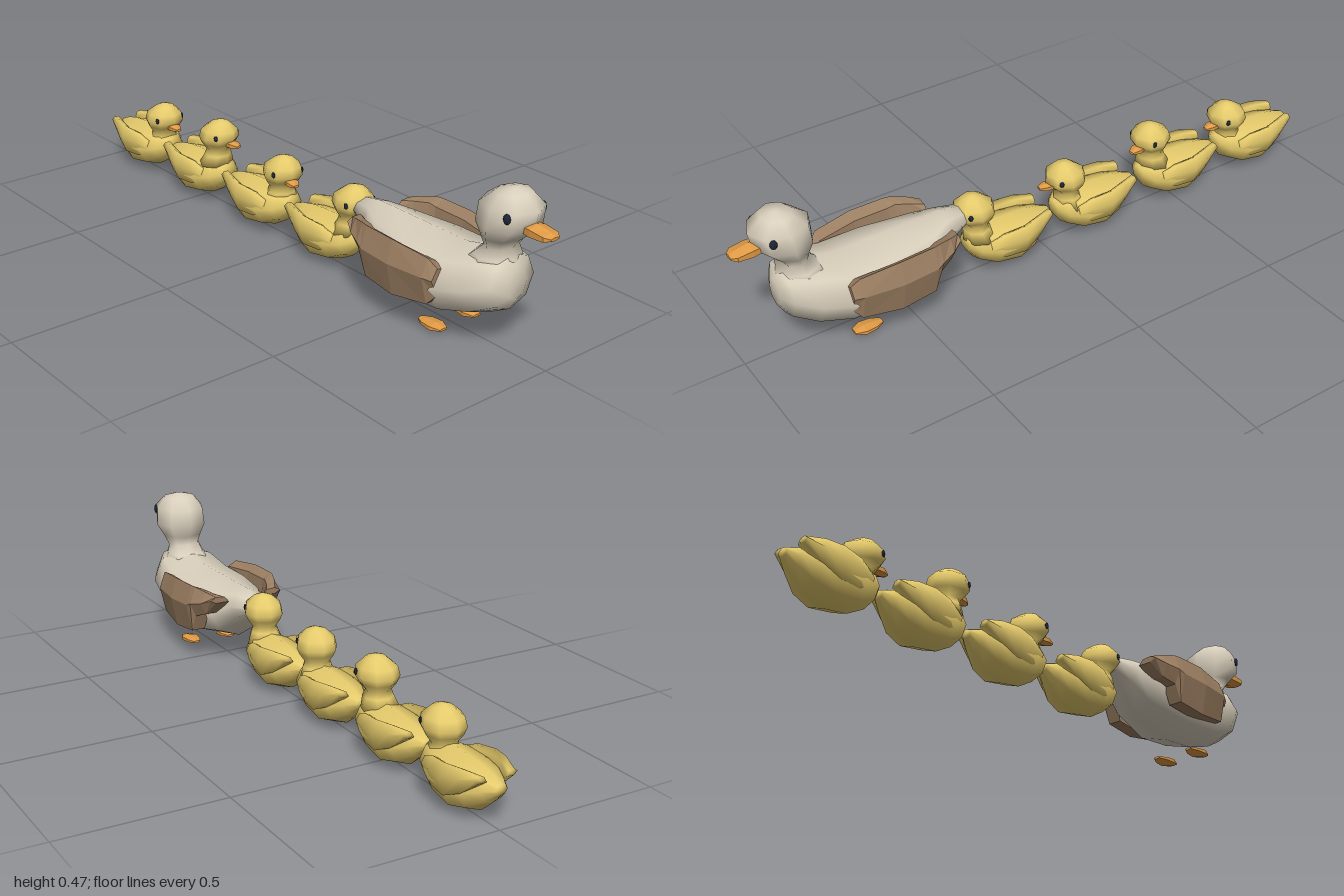
import * as THREE from 'three';

const CREAM = 0xd9cfbc, BROWN = 0x9c7f62, YELLOW = 0xe6cb6c, ORANGE = 0xdf9a45, NAVY = 0x1e2638;

function mat(color, flat = false) {
  return new THREE.MeshStandardMaterial({ color, flatShading: flat, roughness: 0.9 });
}

function add(parent, name, geometry, material) {
  const mesh = new THREE.Mesh(geometry, material);
  mesh.name = name;
  parent.add(mesh);
  return mesh;
}

// Skin over closed rings of points, with both ends capped and faces turned outward
function loft(rings) {
  const n = rings[0].length, pts = rings.flat(), index = [];
  const centre = (ring) => [0, 1, 2].map((k) => ring.reduce((s, p) => s + p[k], 0) / n);
  for (let r = 0; r < rings.length - 1; r++) {
    for (let i = 0; i < n; i++) {
      const a = r * n + i, b = r * n + (i + 1) % n;
      index.push(a, b, a + n, b, b + n, a + n);
    }
  }
  const first = pts.push(centre(rings[0])) - 1;
  const last = pts.push(centre(rings[rings.length - 1])) - 1;
  const top = (rings.length - 1) * n;
  for (let i = 0; i < n; i++) {
    const j = (i + 1) % n;
    index.push(first, j, i, last, top + i, top + j);
  }
  const v = pts.map((p) => new THREE.Vector3(...p));
  const c = v.reduce((s, p) => s.add(p), new THREE.Vector3()).divideScalar(v.length);
  let volume = 0;
  for (let i = 0; i < index.length; i += 3) {
    const [p, q, s] = [0, 1, 2].map((k) => v[index[i + k]].clone().sub(c));
    volume += p.dot(q.cross(s));
  }
  if (volume < 0) index.reverse();
  const g = new THREE.BufferGeometry();
  g.setAttribute('position', new THREE.Float32BufferAttribute(pts.flat(), 3));
  g.setIndex(index);
  g.computeVertexNormals();
  return g;
}

// Sections along z: [z, half width, bottom, top]
function loftZ(sections, sides = 8) {
  return loft(sections.map(([z, w, y0, y1]) => Array.from({ length: sides }, (_, i) => {
    const a = Math.PI / 2 + i / sides * Math.PI * 2;
    return [w * Math.cos(a), (y0 + y1) / 2 + (y1 - y0) / 2 * Math.sin(a), z];
  })));
}

// Sections along y: [y, half width, back z, front z]
function loftY(sections, sides = 8) {
  return loft(sections.map(([y, w, z0, z1]) => Array.from({ length: sides }, (_, i) => {
    const a = i / sides * Math.PI * 2;
    return [w * Math.cos(a), y, (z0 + z1) / 2 + (z1 - z0) / 2 * Math.sin(a)];
  })));
}

// Wedge-shaped wing; sections along z: [z, outer x, top, middle, bottom], side +1 or -1
function wing(sections, inset, side) {
  return loft(sections.map(([z, x, top, mid, bottom]) => [
    [x - inset * 0.4, top, z], [x, mid, z], [x - inset * 0.4, bottom, z],
    [x - inset * 1.3, bottom, z], [x - inset, top - (top - bottom) * 0.12, z],
  ].map(([px, py, pz]) => [px * side, py, pz])));
}

function addEyes(parent, x, y, z, r) {
  for (const side of [1, -1]) {
    const eye = add(parent, side > 0 ? 'leftEye' : 'rightEye', new THREE.SphereGeometry(r, 8, 6), mat(NAVY));
    eye.scale.set(0.5, 1.25, 0.9);
    eye.position.set(x * side, y, z);
    eye.rotation.y = -0.3 * side;
  }
}

function createMother() {
  const g = new THREE.Group();
  g.name = 'motherDuck';
  // Body sweeping back into the tail
  add(g, 'body', loftZ([
    [0.885, 0.035, 0.16, 0.25], [0.865, 0.085, 0.125, 0.285], [0.8, 0.125, 0.09, 0.285],
    [0.7, 0.14, 0.06, 0.262], [0.57, 0.142, 0.05, 0.262], [0.41, 0.1, 0.085, 0.262],
    [0.35, 0.06, 0.155, 0.262], [0.285, 0.04, 0.188, 0.25],
  ]), mat(CREAM));
  // Neck and head
  add(g, 'headAndNeck', loftY([
    [0.22, 0.1, 0.69, 0.885], [0.27, 0.066, 0.75, 0.876], [0.3, 0.055, 0.785, 0.862],
    [0.33, 0.068, 0.775, 0.885], [0.37, 0.088, 0.758, 0.93], [0.425, 0.082, 0.763, 0.942],
    [0.46, 0.053, 0.81, 0.9], [0.47, 0.012, 0.845, 0.865],
  ]), mat(CREAM));
  add(g, 'beak', loftZ([
    [0.9, 0.03, 0.362, 0.395], [0.94, 0.035, 0.357, 0.397], [0.985, 0.033, 0.362, 0.388],
    [1.0, 0.018, 0.37, 0.38],
  ], 6), mat(ORANGE, true));
  addEyes(g, 0.068, 0.412, 0.898, 0.012);
  for (const side of [1, -1]) {
    const label = side > 0 ? 'left' : 'right';
    add(g, label + 'Wing', wing([
      [0.715, 0.142, 0.222, 0.19, 0.14], [0.69, 0.155, 0.248, 0.195, 0.112],
      [0.57, 0.169, 0.262, 0.195, 0.098], [0.46, 0.166, 0.264, 0.2, 0.11],
      [0.44, 0.162, 0.264, 0.21, 0.165], [0.395, 0.146, 0.255, 0.22, 0.182],
      [0.36, 0.127, 0.245, 0.235, 0.225],
    ], 0.05, side), mat(BROWN, true));
    const foot = add(g, label + 'Foot', loftZ([
      [0.6, 0.012, 0.008, 0.016], [0.625, 0.026, 0.003, 0.02],
      [0.66, 0.03, 0, 0.022], [0.69, 0.016, 0.007, 0.015],
    ], 6), mat(ORANGE, true));
    foot.position.x = 0.064 * side;
  }
  return g;
}

// Duckling with its breast at z = 0; the head can be raised, shifted and turned
function createDuckling(headY, headZ, turn) {
  const g = new THREE.Group();
  g.name = 'duckling';
  add(g, 'body', loftZ([
    [0, 0.028, 0.085, 0.135], [-0.025, 0.06, 0.05, 0.15], [-0.08, 0.08, 0.018, 0.155],
    [-0.16, 0.085, 0.004, 0.153], [-0.22, 0.07, 0.022, 0.148], [-0.265, 0.042, 0.062, 0.138],
    [-0.298, 0.018, 0.098, 0.125],
  ]), mat(YELLOW));
  for (const side of [1, -1]) {
    add(g, side > 0 ? 'leftWing' : 'rightWing', wing([
      [-0.055, 0.075, 0.125, 0.105, 0.08], [-0.1, 0.085, 0.145, 0.11, 0.06],
      [-0.165, 0.094, 0.153, 0.11, 0.06], [-0.22, 0.083, 0.156, 0.125, 0.085],
      [-0.275, 0.066, 0.148, 0.14, 0.13],
    ], 0.028, side), mat(YELLOW));
  }
  const head = new THREE.Group();
  head.name = 'head';
  head.position.set(0, headY, -0.042 + headZ);
  head.rotation.y = turn;
  add(head, 'headAndNeck', loftY([
    [0.11, 0.06, -0.07, 0.035], [0.145, 0.046, -0.05, 0.036], [0.163, 0.039, -0.043, 0.028],
    [0.185, 0.054, -0.06, 0.05], [0.205, 0.063, -0.068, 0.064], [0.232, 0.057, -0.06, 0.062],
    [0.256, 0.03, -0.025, 0.035], [0.263, 0.008, -0.004, 0.014],
  ]), mat(YELLOW));
  add(head, 'beak', loftZ([
    [0.045, 0.02, 0.179, 0.202], [0.065, 0.022, 0.178, 0.202], [0.087, 0.01, 0.184, 0.193],
  ], 6), mat(ORANGE, true));
  addEyes(head, 0.05, 0.216, 0.032, 0.008);
  g.add(head);
  return g;
}

export function createModel() {
  const model = new THREE.Group();
  model.name = 'duckFamily';
  model.add(createMother());
  // Ducklings in a row: [breast z, head height, head shift, head turn]
  [
    [0.272, 0.011, 0.01, -0.1],
    [-0.05, 0, 0, -0.18],
    [-0.382, 0.021, 0, 0.18],
    [-0.702, -0.012, 0, 0],
  ].forEach(([z, headY, headZ, turn], i) => {
    const duckling = createDuckling(headY, headZ, turn);
    duckling.name = 'duckling' + (i + 1);
    duckling.position.z = z;
    model.add(duckling);
  });
  return model;
}
